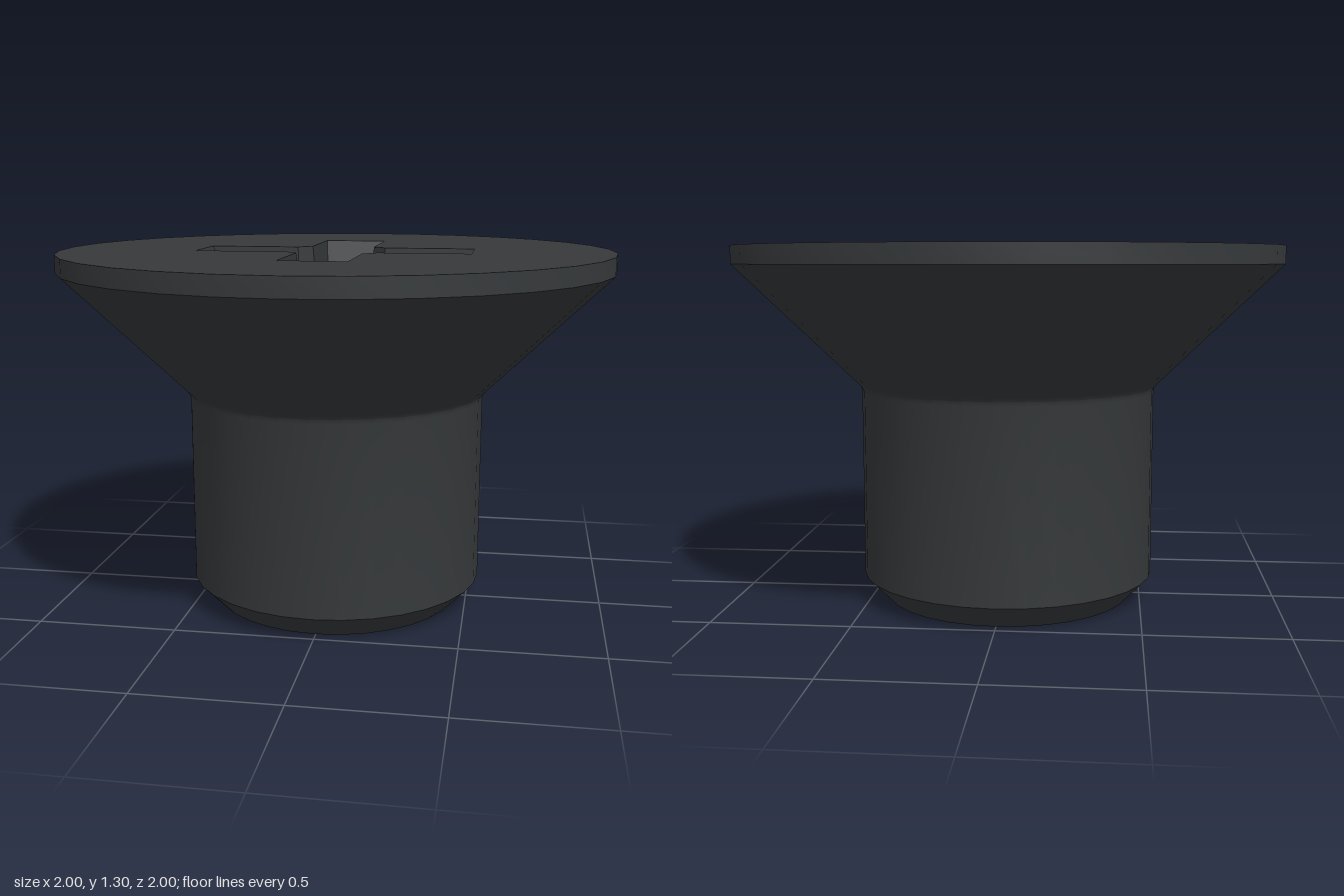
import * as THREE from 'three';
import { toCreasedNormals } from 'three/addons/utils/BufferGeometryUtils.js';

const SIDES = 32;
const TOP = 1.305;        // top face of the head
const FLOOR = 0.9;        // floor of the cross recess
const HUB = 0.16;         // radius of the recess centre

// Cross outline, counter-clockwise: one arm (inner, tip, tip, inner) turned four times
function crossOutline(inner, tip, half) {
  const arm = [[inner, -half], [tip, -half], [tip, half], [inner, half]];
  const points = [];
  for (let i = 0; i < 4; i++) {
    for (const [x, y] of arm) {
      points.push(new THREE.Vector2(x, y).rotateAround(new THREE.Vector2(), i * Math.PI / 2));
    }
  }
  return points;
}

export function createModel() {
  const group = new THREE.Group();
  const material = new THREE.MeshStandardMaterial({ color: 0x36393b });
  const add = (name, geometry, parent = group) => {
    const mesh = new THREE.Mesh(geometry, material);
    mesh.name = name;
    parent.add(mesh);
    return mesh;
  };
  const lathe = (profile) => toCreasedNormals(
    new THREE.LatheGeometry(profile.map(([r, y]) => new THREE.Vector2(r, y)), SIDES), 0.45);

  // Shank with chamfered end, small neck fillet, countersunk head and rim
  add('screwBody', lathe([
    [0, 0], [0.455, 0], [0.542, 0.09], [0.542, 0.775],
    [0.546, 0.792], [0.558, 0.807], [1, 1.24], [1, TOP],
  ]));

  // Flat top face with the cross cut out
  const upper = crossOutline(0.165, 0.495, 0.117);
  const lower = crossOutline(0.141, 0.292, 0.075);
  const disc = new THREE.Shape(Array.from({ length: SIDES }, (_, i) => {
    const a = i / SIDES * Math.PI * 2;
    return new THREE.Vector2(Math.cos(a), Math.sin(a));
  }));
  disc.holes.push(new THREE.Path(upper));
  const face = add('headTop', new THREE.ShapeGeometry(disc).rotateX(-Math.PI / 2));
  face.position.y = TOP;

  const recess = new THREE.Group();
  recess.name = 'crossRecess';
  group.add(recess);

  // Tapered recess walls between the two outlines, facing inward
  const positions = [];
  upper.forEach((t0, i) => {
    const j = (i + 1) % upper.length;
    const t1 = upper[j], b0 = lower[i], b1 = lower[j];
    for (const [p, y] of [[t0, TOP], [t1, TOP], [b0, FLOOR], [t1, TOP], [b1, FLOOR], [b0, FLOOR]]) {
      positions.push(p.x, y, -p.y);
    }
  });
  const walls = new THREE.BufferGeometry();
  walls.setAttribute('position', new THREE.Float32BufferAttribute(positions, 3));
  walls.computeVertexNormals();
  add('recessWalls', walls, recess);

  // Floor of each arm, ending in an arc around the hub
  const spread = Math.asin(0.075 / HUB);
  const floorShape = new THREE.Shape();
  floorShape.moveTo(0.141, -0.075);
  floorShape.lineTo(0.292, -0.075);
  floorShape.lineTo(0.292, 0.075);
  floorShape.lineTo(0.141, 0.075);
  floorShape.absarc(0, 0, HUB, spread, -spread, true);
  const floorGeometry = new THREE.ShapeGeometry(floorShape, 6).rotateX(-Math.PI / 2);
  for (let i = 0; i < 4; i++) {
    const floor = add('recessArmFloor', floorGeometry, recess);
    floor.position.y = FLOOR;
    floor.rotation.y = i * Math.PI / 2;
  }

  // Shallow conical pit in the middle
  add('recessCentre', lathe([[HUB, FLOOR], [0, FLOOR - 0.08]]), recess);

  return group;
}
